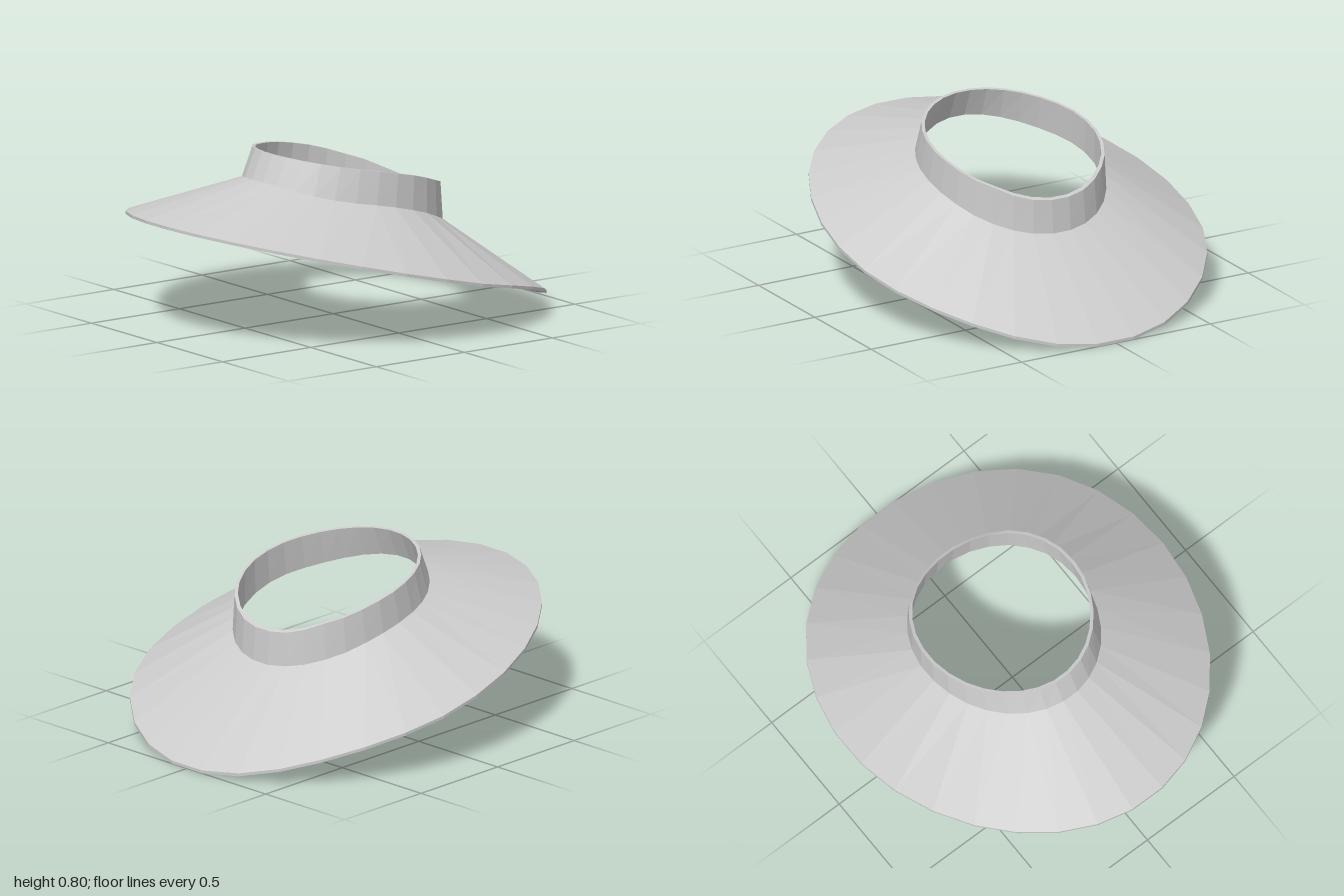
import * as THREE from 'three';

const SIDES = 30;

// Linear lookup of height along z; points run from front to back
function heightAt(points, z) {
  if (z >= points[0][0]) return points[0][1];
  for (let i = 1; i < points.length; i++) {
    const [z0, y0] = points[i - 1], [z1, y1] = points[i];
    if (z >= z1) return y0 + (y1 - y0) * (z0 - z) / (z0 - z1);
  }
  return points[points.length - 1][1];
}

// Egg-shaped ring that is slightly narrower at the front and follows a height curve
function ring(rx, zFront, zBack, heights, lift = 0) {
  const zc = (zFront + zBack) / 2;
  const rz = (zFront - zBack) / 2 / Math.cos(Math.PI / SIDES);
  return Array.from({ length: SIDES }, (_, j) => {
    const t = (j + 0.5) / SIDES * Math.PI * 2;
    const z = zc + rz * Math.cos(t);
    return [rx * Math.sin(t) * (1 - 0.06 * Math.cos(t)), heightAt(heights, z) + lift, z];
  });
}

// Skin a sequence of rings
function loft(name, rings, material) {
  const index = [];
  for (let i = 0; i < rings.length - 1; i++) {
    for (let j = 0; j < SIDES; j++) {
      const k = (j + 1) % SIDES;
      const a = i * SIDES + j, b = i * SIDES + k;
      index.push(a, b, b + SIDES, a, b + SIDES, a + SIDES);
    }
  }
  const geometry = new THREE.BufferGeometry();
  geometry.setAttribute('position', new THREE.Float32BufferAttribute(rings.flat(2), 3));
  geometry.setIndex(index);
  geometry.computeVertexNormals();
  const mesh = new THREE.Mesh(geometry, material);
  mesh.name = name;
  return mesh;
}

export function createModel() {
  const material = new THREE.MeshStandardMaterial({
    color: 0xcccccc, flatShading: true, side: THREE.DoubleSide,
  });

  // Height curves as [z, y]
  const rimCurve = [[1, 0.54], [0.6, 0.445], [0.2, 0.35], [0, 0.303], [-0.2, 0.255],
    [-0.5, 0.19], [-0.7, 0.133], [-0.85, 0.073], [-1, 0]];
  const baseCurve = [[0.43, 0.677], [0.32, 0.64], [0.2, 0.61], [0, 0.577], [-0.2, 0.525],
    [-0.4, 0.445], [-0.52, 0.39]];
  const topCurve = [[0.37, 0.8], [0.2, 0.767], [0, 0.733], [-0.2, 0.687], [-0.4, 0.615], [-0.505, 0.548]];

  const baseOuter = ring(0.42, 0.43, -0.52, baseCurve);
  const baseInner = ring(0.403, 0.412, -0.505, baseCurve, -0.01);
  const topOuter = ring(0.408, 0.373, -0.508, topCurve);
  const topInner = ring(0.393, 0.357, -0.493, topCurve);
  const rimBottom = ring(0.87, 1, -1, rimCurve);
  const rimTop = ring(0.87, 1, -1, rimCurve, 0.014);

  const group = new THREE.Group();
  group.name = 'brimmedCollar';
  // Upright band around the opening
  group.add(loft('collar', [baseOuter, topOuter, topInner, baseInner], material));
  // Wide sloping brim: underside, edge, upper side
  group.add(loft('brim', [baseInner, rimBottom, rimTop, baseOuter], material));
  return group;
}
